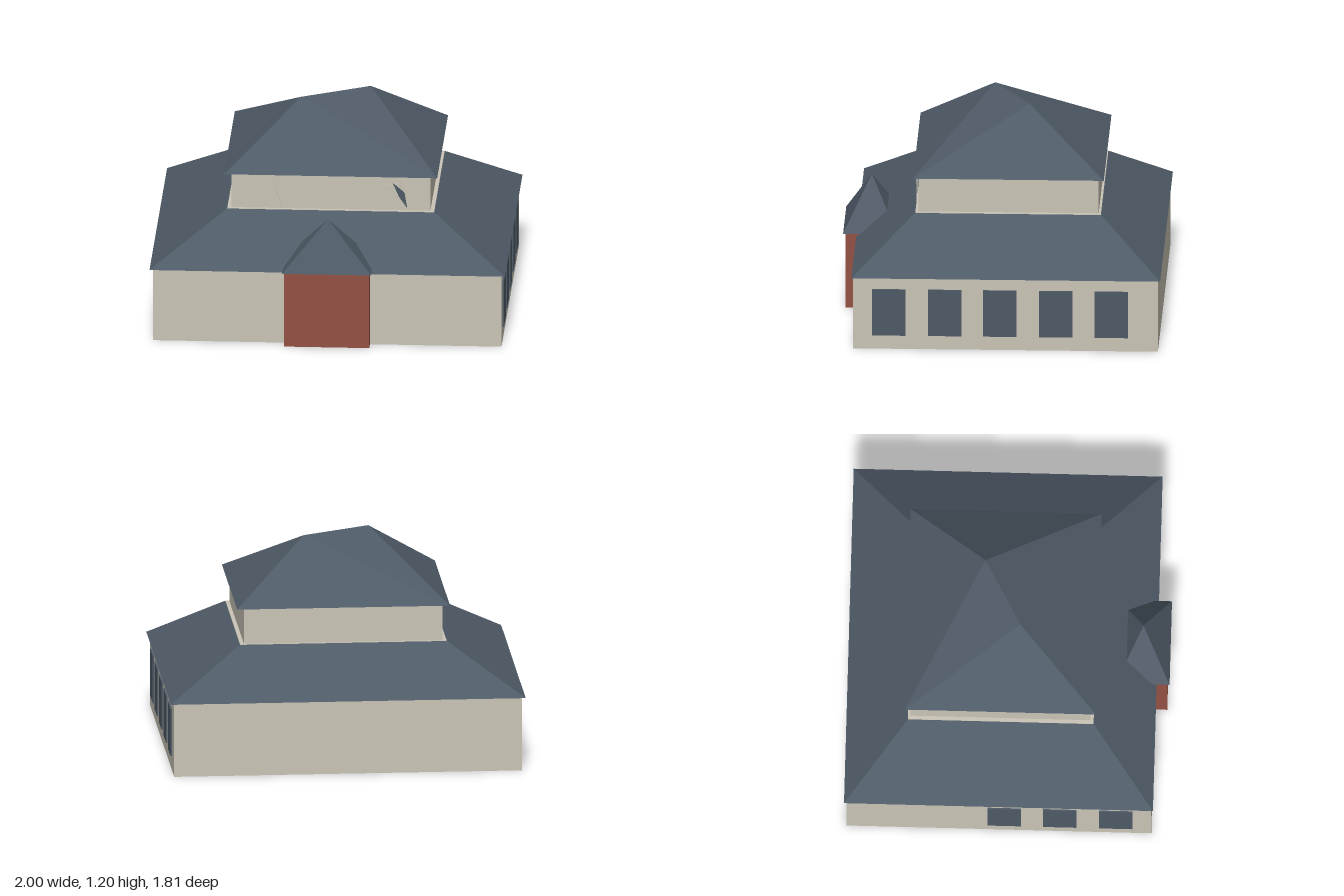
import * as THREE from 'three';
import { ConvexGeometry } from 'three/addons/geometries/ConvexGeometry.js';

export function createModel() {
  const group = new THREE.Group();
  const material = (name, color) => {
    const m = new THREE.MeshStandardMaterial({ color });
    m.name = name;
    return m;
  };
  const stone = material('stone', 0xc9c4b6);
  const slate = material('slate', 0x4e5a66);
  const brick = material('brick', 0x945243);

  const add = (name, geometry, mat) => {
    const mesh = new THREE.Mesh(geometry, mat);
    mesh.name = name;
    group.add(mesh);
    return mesh;
  };
  // Box given by its limits on each axis
  const block = (name, mat, x0, x1, y0, y1, z0, z1) => {
    const mesh = add(name, new THREE.BoxGeometry(x1 - x0, y1 - y0, z1 - z0), mat);
    mesh.position.set((x0 + x1) / 2, (y0 + y1) / 2, (z0 + z1) / 2);
  };
  // Horizontal rectangle of four corners, symmetric in x
  const rect = (x, y, z0, z1) => [[-x, z0], [x, z0], [x, z1], [-x, z1]]
    .map(([px, pz]) => new THREE.Vector3(px, y, pz));
  const v = (x, y, z) => new THREE.Vector3(x, y, z);
  const roof = (name, points) => add(name, new ConvexGeometry(points), slate);

  // Ground floor and its cut-off hip roof
  block('groundFloor', stone, -0.98, 0.98, 0, 0.425, -0.893, 0.82);
  roof('lowerRoof', [...rect(1, 0.42, -0.906, 0.83), ...rect(0.585, 0.674, -0.561, 0.488)]);
  block('roofDeck', stone, -0.582, 0.582, 0.672, 0.677, -0.558, 0.485);

  // Upper floor and its roof with a skewed ridge
  block('upperFloor', stone, -0.56, 0.56, 0.67, 0.885, -0.545, 0.467);
  roof('upperRoof', [...rect(0.6, 0.882, -0.575, 0.498), v(-0.19, 1.2, 0.064), v(0.19, 1.2, -0.143)]);

  // Entrance porch with a pyramid roof
  block('porch', brick, -0.24, 0.24, 0.001, 0.445, 0.61, 0.89);
  roof('porchRoof', [...rect(0.25, 0.438, 0.6, 0.903), v(0, 0.715, 0.75)]);

  // Side windows: five on the left, three towards the front on the right
  const spots = [0.62, 0.305, -0.005, -0.32, -0.632];
  for (const [side, count] of [[1, 5], [-1, 3]]) {
    for (const z of spots.slice(0, count)) {
      const pane = add('sideWindow', new THREE.BoxGeometry(0.008, 0.272, 0.188), slate);
      pane.position.set(side * 0.984, 0.216, z);
    }
  }

  // Small flat pieces on the upper front wall
  const plate = (name, mat, z, points) => {
    const shape = new THREE.Shape(points.map(([x, y]) => new THREE.Vector2(x, y)));
    add(name, new THREE.ExtrudeGeometry(shape, { depth: 0.006, bevelEnabled: false }), mat)
      .position.z = z;
  };
  plate('wallChip', stone, 0.478, [[-0.435, 0.79], [-0.28, 0.7], [-0.32, 0.845]]);
  plate('wallChip', stone, 0.478, [[0.29, 0.825], [0.43, 0.7], [0.39, 0.845]]);
  plate('windowShard', slate, 0.486, [[0.35, 0.845], [0.385, 0.765], [0.43, 0.7], [0.415, 0.79]]);

  return group;
}
